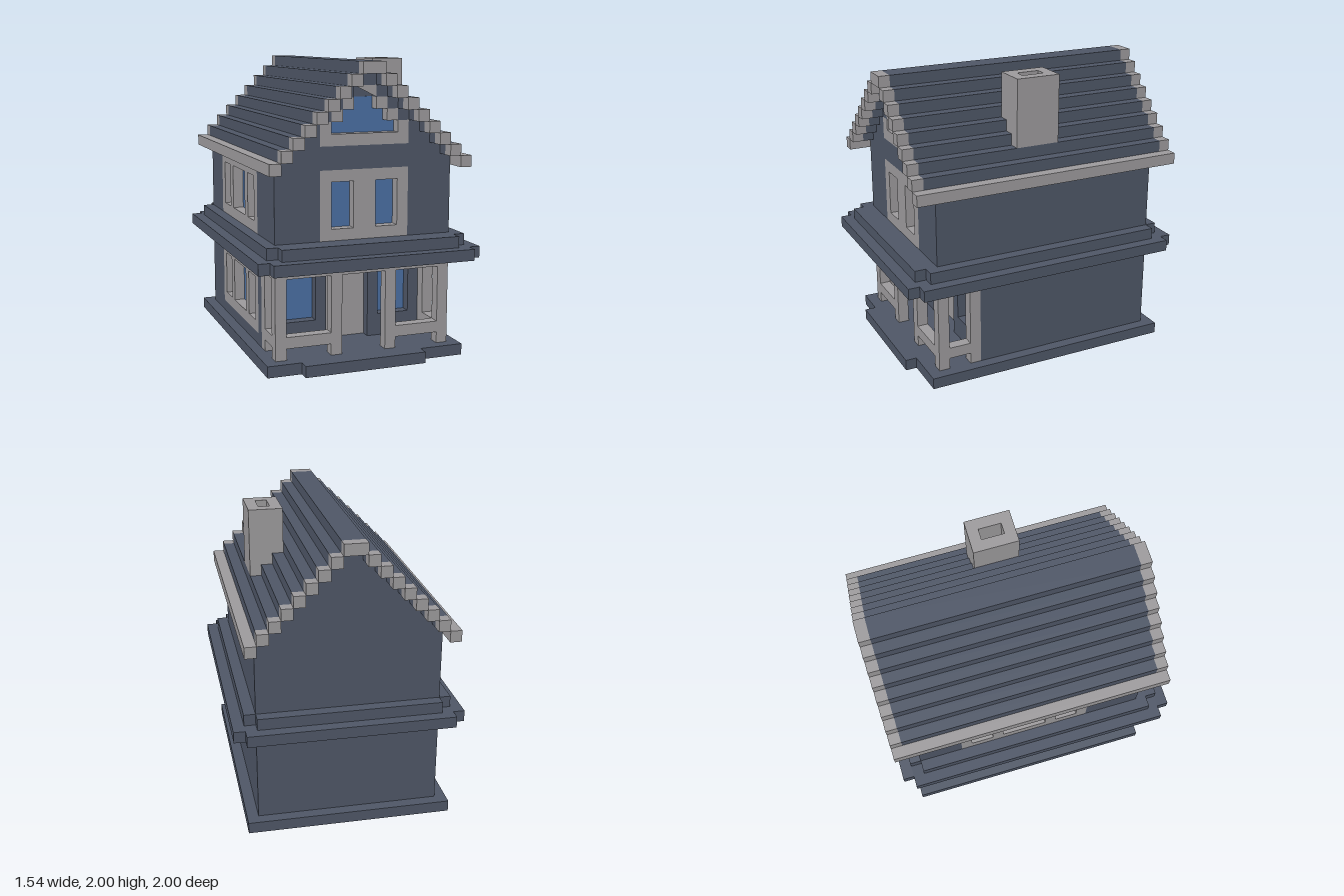
import * as THREE from 'three';

export function createModel() {
  const material = (name, color) => {
    const m = new THREE.MeshStandardMaterial({ color });
    m.name = name;
    return m;
  };
  const slate = material('slate', 0x4e5666);
  const trim = material('trim', 0x9c9a9c);
  const glass = material('glass', 0x4a6fa3);

  // Everything is laid out on a block grid, 13 blocks to the unit.
  const house = new THREE.Group();
  house.name = 'house';
  house.scale.setScalar(1 / 13);

  const add = (parent, name, geometry, mat) => {
    const mesh = new THREE.Mesh(geometry, mat);
    mesh.name = name;
    parent.add(mesh);
    return mesh;
  };
  const box = (name, mat, x0, x1, y0, y1, z0, z1, parent = house) =>
    add(parent, name, new THREE.BoxGeometry(x1 - x0, y1 - y0, z1 - z0)
      .translate((x0 + x1) / 2, (y0 + y1) / 2, (z0 + z1) / 2), mat);
  const rect = (x0, x1, y0, y1) => [[x0, y0], [x1, y0], [x1, y1], [x0, y1]];
  // Stepped gable outline: half width w up to y1, then one block narrower per row.
  const stair = (w, y0, y1) => {
    const right = [[w, y0]];
    for (let i = 0; i < w; i++) {
      right.push([w - i, y1 + i]);
      if (i < w - 1) right.push([w - i - 1, y1 + i]);
    }
    return [...right, ...right.map(([x, y]) => [-x, y]).reverse()];
  };
  const vec = pts => pts.map(([x, y]) => new THREE.Vector2(x, y));
  const panel = (name, mat, outline, holes, z0, z1, parent = house) => {
    const shape = new THREE.Shape(vec(outline));
    for (const h of holes) shape.holes.push(new THREE.Path(vec(h)));
    const g = new THREE.ExtrudeGeometry(shape, { depth: z1 - z0, bevelEnabled: false });
    return add(parent, name, g.translate(0, 0, z0), mat);
  };
  const pane = (outline, z, parent = house) =>
    panel('windowPane', glass, outline, [], z, z + 0.05, parent);

  // Base with a projecting front step
  box('base', slate, -9, 9, 0, 1, -12, 11);
  box('frontStep', slate, -6, 5, 0, 1, 11, 12);

  // Ground floor: core, recessed front windows and door
  box('groundFloorCore', slate, -7, 8, 1, 9, -11, 5);
  const frontWindows = [rect(-6, -3, 3, 7), rect(3, 6, 3, 7)];
  // The door opening is a notch in the outline
  panel('groundFloorFront', slate,
    [[-8, 1], [-2, 1], [-2, 7], [2, 7], [2, 1], [8, 1], [8, 9], [-8, 9]], frontWindows, 5, 6);
  frontWindows.forEach(w => pane(w, 5));
  box('door', trim, -2, 2, 1, 7, 5, 5.1);

  // Porch posts, rails and beams
  box('porchBeam', trim, -8, 8, 8, 9, 9, 10);
  for (const s of [-1, 1]) {
    const side = (name, a, b, ...rest) =>
      box(name, trim, Math.min(s * a, s * b), Math.max(s * a, s * b), ...rest);
    side('cornerPost', 7, 8, 1, 8, 9, 10);
    side('innerPost', 2, 3, 1, 8, 9, 10);
    side('wallPost', 7, 8, 1, 9, 6, 7);
    side('frontRail', 3, 7, 2, 3, 9, 10);
    side('sideRail', 7, 8, 2, 3, 7, 9);
    side('sideBeam', 7, 8, 8, 9, 7, 9);
  }

  // Ledge between floors, two layers with notched corners
  for (const [i, y] of [[0, 9], [1, 10]]) {
    panel('ledge', slate, rect(-10 + i, 10 - i, y, y + 1), [], -12 + i, 12 - i);
    box('ledgeFront', slate, -9 + i, 9 - i, y, y + 1, 12 - i, 13 - i);
    box('ledgeBack', slate, -9 + i, 9 - i, y, y + 1, -13 + i, -12 + i);
  }

  // Upper floor and gable
  box('upperFloorCore', slate, -7, 8, 11, 17, -11, 9);
  panel('gableCore', slate, stair(8, 17, 18), [], -11, 9);
  const upperFrame = rect(-4, 4, 11.001, 17);
  const upperPanes = [rect(-3, -1, 12, 16), rect(1, 3, 12, 16)];
  const atticFrame = stair(4, 19, 21);
  const atticPane = stair(3, 20, 21);
  panel('upperFloorFront', slate, stair(8, 11, 18), [upperFrame, atticFrame], 9, 10);
  panel('frontWindowFrame', trim, upperFrame, upperPanes, 9, 10);
  panel('atticWindowFrame', trim, atticFrame, [atticPane], 9, 10);
  [...upperPanes, atticPane].forEach(w => pane(w, 9));

  // Right-hand wall with a three-pane window on each floor
  const sideWall = new THREE.Group();
  sideWall.name = 'sideWall';
  sideWall.rotation.y = -Math.PI / 2;
  house.add(sideWall);
  for (const [y0, y1, front, f] of [[1, 9, 5, 2], [11, 17, 9, 11]]) {
    const frame = rect(-7, 5, f + 0.001, f + 5.999);
    const panes = [[-6, -4], [-3, 1], [2, 4]].map(([a, b]) => rect(a, b, f + 1, f + 5));
    panel('sideWallPanel', slate, rect(-11, front, y0, y1), [frame], 7, 8, sideWall);
    panel('sideWindowFrame', trim, frame, panes, 7, 8, sideWall);
    panes.forEach(w => pane(w, 7, sideWall));
  }

  // Stepped roof: dark courses with pale ends, pale eaves
  for (let k = 0; k < 9; k++) {
    const spans = k === 8 ? [[-1, 1]] : [[8 - k, 9 - k], [k - 9, k - 8]];
    for (const [a, b] of spans) {
      box('roofCourse', k ? slate : trim, a, b, 17 + k, 18 + k, -12, 11);
      box('roofEdgeFront', trim, a, b, 17 + k, 18 + k, 11, 12);
      box('roofEdgeBack', trim, a, b, 17 + k, 18 + k, -13, -12);
    }
  }

  // Hollow chimney
  const chimney = panel('chimney', trim, rect(4, 7, -2, 2), [rect(5, 6, -1, 1)], 0, 6);
  chimney.rotation.x = -Math.PI / 2;
  chimney.position.y = 20;

  const root = new THREE.Group();
  root.name = 'model';
  root.add(house);
  return root;
}
